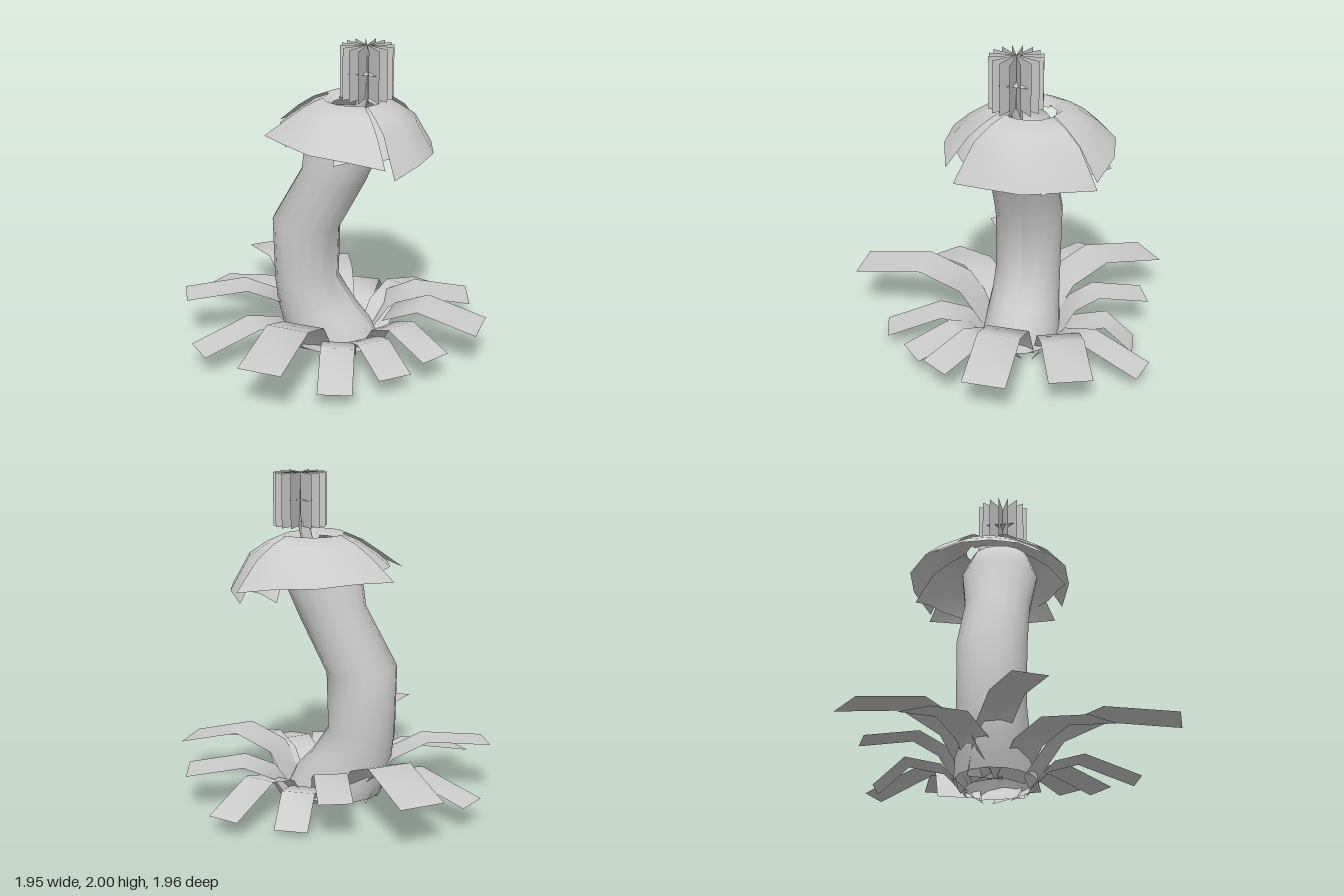
import * as THREE from 'three';

const paleGray = new THREE.MeshStandardMaterial({ color: 0xcccccc, side: THREE.DoubleSide });
paleGray.name = 'paleGray';

// Skins a grid of points given row by row; every row has the same length.
function skin(name, rows, flip = false) {
  const n = rows[0].length;
  const index = [];
  for (let i = 0; i < rows.length - 1; i++) {
    for (let j = 0; j < n - 1; j++) {
      const a = i * n + j, b = a + 1, c = a + n, d = c + 1;
      if (flip) index.push(a, b, c, b, d, c);
      else index.push(a, c, b, b, c, d);
    }
  }
  const geo = new THREE.BufferGeometry();
  geo.setAttribute('position', new THREE.Float32BufferAttribute(rows.flat(2), 3));
  geo.setIndex(index);
  geo.computeVertexNormals();
  const mesh = new THREE.Mesh(geo, paleGray);
  mesh.name = name;
  return mesh;
}

// Bent trunk, open at the foot: each section is left x, left y, right x, right y, depth radius
function makeStalk() {
  const sections = [
    [-0.3, 0.03, 0.3, 0.03, 0.25],
    [-0.34, 0.13, 0.24, 0.16, 0.235],
    [-0.37, 0.25, 0.14, 0.27, 0.22],
    [-0.39, 0.42, 0.02, 0.45, 0.21],
    [-0.4, 0.84, 0.03, 0.8, 0.215],
    [-0.2, 1.2, 0.2, 1.13, 0.205],
    [-0.17, 1.42, 0.32, 1.4, 0.24],
    [-0.08, 1.57, 0.27, 1.56, 0.18],
    [0.1, 1.58, 0.12, 1.58, 0.01],
  ];
  const sides = 16;
  const rows = sections.map(([lx, ly, rx, ry, rz]) => {
    const row = [];
    for (let k = 0; k <= sides; k++) {
      const a = (k / sides) * Math.PI * 2;
      const t = (1 + Math.cos(a)) / 2;
      row.push([lx + (rx - lx) * t, ly + (ry - ly) * t, -0.11 + rz * Math.sin(a)]);
    }
    return row;
  });
  return skin('stalk', rows);
}

// Ground leaf: a strip that rises from the root, peaks and droops to its tip
function makeLeaf([x, z, heading, width, peakY, tipY, peakAt = 0.6]) {
  const a = THREE.MathUtils.degToRad(heading);
  const dx = Math.sin(a), dz = Math.cos(a);
  const len = (x - 0.03) * dx + (z + 0.11) * dz;
  const profile = [
    [0.19, 0],
    [Math.max(0.33, len * 0.36), 0.04 + (peakY - 0.04) * 0.7],
    [len * peakAt, peakY],
    [len, tipY],
  ];
  const rows = profile.map(([r, y]) => [-1, 1].map((s) => [
    x + dx * (r - len) - dz * s * width / 2, y, z + dz * (r - len) + dx * s * width / 2,
  ]));
  return skin('leaf', rows, true);
}

// Cap petal: a curved wedge from the hollow crown to a drooping rim
function makePetal([from, to, rimR, rimY0, rimY1, lift]) {
  const profile = [[0.14, 1.6], [0.18, 1.64], [0.28, 1.595], [0.39, 1.52]];
  const columns = 4;
  const rows = [...profile, [rimR, 0]].map(([r, y], i) => {
    const row = [];
    for (let k = 0; k <= columns; k++) {
      const a = THREE.MathUtils.degToRad(from + (to - from) * k / columns);
      const rim = i === profile.length;
      const corner = rim && (k === 0 || k === columns) ? 0.035 : 0;
      const rr = r + lift + corner;
      const h = rim ? rimY0 + (rimY1 - rimY0) * k / columns : y;
      row.push([0.1 + rr * Math.cos(a), h + lift - corner, -0.18 + rr * Math.sin(a)]);
    }
    return row;
  });
  return skin('capPetal', rows, true);
}

export function createModel() {
  const model = new THREE.Group();
  model.name = 'plant';
  model.add(makeStalk());

  // Leaves around the base: tip x, tip z, heading, width, peak y, tip y, peak position
  const leaves = new THREE.Group();
  leaves.name = 'leaves';
  [
    [-0.055, 0.985, 0, 0.27, 0.4, 0.34],
    [0.3, 0.7, 17, 0.21, 0.22, 0.1],
    [0.595, 0.45, 43, 0.21, 0.22, 0.14],
    [0.785, 0.245, 57, 0.2, 0.28, 0.2],
    [0.975, -0.11, 90, 0.265, 0.365, 0.27],
    [0.77, -0.585, 110, 0.265, 0.28, 0.23],
    [0.38, -0.955, 166, 0.2, 0.23, 0.1],
    [0.01, -0.84, 186, 0.2, 0.2, 0.03, 0.75],
    [-0.27, -0.86, 204, 0.2, 0.3, 0.24],
    [-0.76, -0.82, 222, 0.27, 0.37, 0.275],
    [-0.945, -0.385, 252.5, 0.2, 0.26, 0.15],
    [-0.89, 0.225, 298, 0.21, 0.375, 0.335],
    [-0.64, 0.58, 319, 0.21, 0.25, 0.15],
  ].forEach((leaf) => leaves.add(makeLeaf(leaf)));
  model.add(leaves);

  // Cap of overlapping petals: start and end angle, rim radius, rim y at both ends, lift
  const cap = new THREE.Group();
  cap.name = 'cap';
  [
    [51, 152, 0.5, 1.39, 1.45, 0.012],
    [-58, 44, 0.5, 1.33, 1.325, 0.0],
    [192, 304, 0.5, 1.43, 1.38, 0.012],
    [125, 215, 0.46, 1.46, 1.46, 0.0],
    [-85, -20, 0.47, 1.37, 1.36, -0.01],
    [15, 85, 0.46, 1.39, 1.42, -0.01],
  ].forEach((petal) => cap.add(makePetal(petal)));
  model.add(cap);

  // Thin stem rising out of the crown
  const stem = new THREE.Mesh(
    new THREE.TubeGeometry(new THREE.LineCurve3(
      new THREE.Vector3(0.15, 1.54, -0.11), new THREE.Vector3(0.19, 1.71, -0.11)), 1, 0.035, 6), paleGray);
  stem.name = 'stem';
  const tip = new THREE.Mesh(new THREE.ConeGeometry(0.025, 0.14, 6), paleGray);
  tip.name = 'stemTip';
  tip.position.set(0.2, 1.76, -0.11);
  model.add(stem, tip);

  // Flower of crossed upright blades and one level blade
  const flower = new THREE.Group();
  flower.name = 'flower';
  flower.position.set(0.205, 1.84, -0.115);
  for (let i = 0; i < 8; i++) {
    const blade = new THREE.Mesh(new THREE.PlaneGeometry(0.32, 0.32), paleGray);
    blade.name = 'flowerBlade';
    blade.rotation.y = i * Math.PI / 8;
    flower.add(blade);
  }
  const level = new THREE.Mesh(new THREE.PlaneGeometry(0.18, 0.18), paleGray);
  level.name = 'levelBlade';
  level.rotation.x = -Math.PI / 2;
  flower.add(level);
  model.add(flower);

  return model;
}
